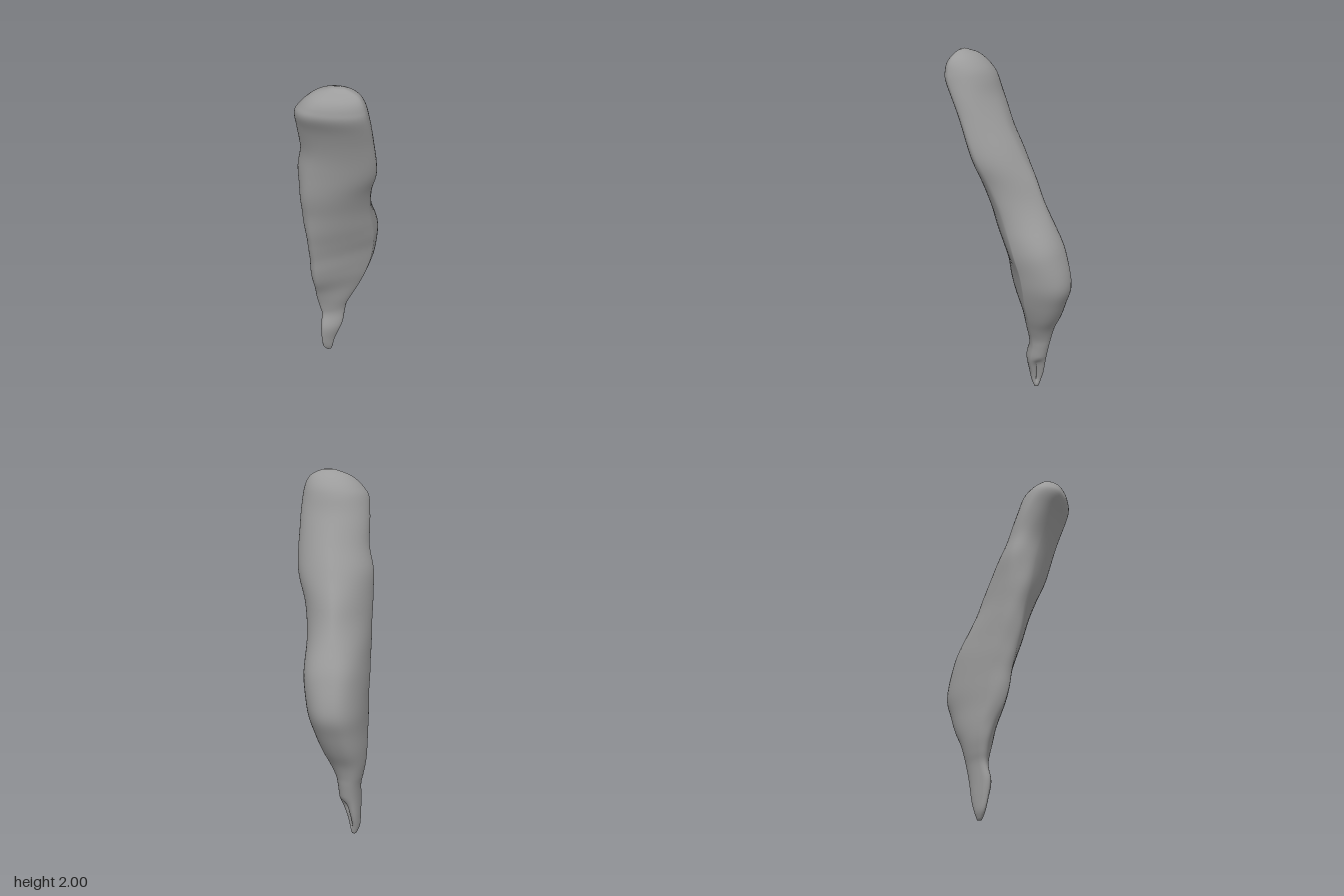
import * as THREE from 'three';

// Cross-sections from root tip to crown: [y, left x, right x, front z, back z]
const SECTIONS = [
  [0.00, -0.165, -0.138, -0.078, -0.108],
  [0.04, -0.18, -0.125, -0.054, -0.122],
  [0.10, -0.183, -0.11, -0.038, -0.143],
  [0.20, -0.185, -0.075, -0.027, -0.167],
  [0.29, -0.187, -0.066, -0.048, -0.187],
  [0.35, -0.20, -0.055, -0.04, -0.20],
  [0.42, -0.212, -0.025, -0.022, -0.225],
  [0.50, -0.215, 0.015, 0.005, -0.27],
  [0.60, -0.215, 0.055, 0.055, -0.315],
  [0.70, -0.215, 0.087, 0.085, -0.353],
  [0.80, -0.215, 0.105, 0.10, -0.35],
  [0.90, -0.215, 0.122, 0.125, -0.325],
  [1.00, -0.215, 0.123, 0.15, -0.29],
  [1.15, -0.215, 0.124, 0.18, -0.215],
  [1.30, -0.215, 0.152, 0.215, -0.155],
  [1.45, -0.215, 0.20, 0.227, -0.085],
  [1.60, -0.187, 0.207, 0.25, -0.01],
  [1.75, -0.18, 0.208, 0.305, 0.06],
  [1.85, -0.165, 0.206, 0.355, 0.09],
  [1.90, -0.135, 0.197, 0.353, 0.112],
  [1.94, -0.098, 0.182, 0.335, 0.142],
  [1.97, -0.055, 0.158, 0.305, 0.175],
  [1.99, 0.00, 0.12, 0.28, 0.21],
  [2.00, 0.03, 0.09, 0.265, 0.235],
];
const SIDES = 48, RINGS = 110;
const { lerp, smoothstep } = THREE.MathUtils;

// One outline point: four quarter arcs joined where the section touches its bounds
function outlinePoint(angle, y, xl, xr, zf, zb) {
  const upper = smoothstep(y, 1.1, 1.65);
  const frontX = lerp(xl, xr, lerp(0.2, 0.3, upper));
  const leftZ = lerp(zb, zf, lerp(0.77, 0.66, upper));
  const rightZ = lerp(zb, zf, lerp(0.46, 0.56, upper));
  const backX = (xl + xr) / 2;
  const c = Math.cos(angle), s = Math.sin(angle);
  // above 1 flattens a quarter, below 1 fills it out
  let power = 1;
  if (s < 0) {
    // full at the back of the belly, slimmer above it
    power = 0.88 + 0.37 * smoothstep(y, 0.9, 1.25) - 0.23 * smoothstep(y, 1.5, 1.8);
  } else if (c > 0) {
    // broad flat side between the front ridge and +x
    const belly = smoothstep(y, 0.35, 0.6) * (1 - smoothstep(y, 0.8, 1.15));
    power = lerp(1.35, 1.15, upper) + 0.4 * belly;
  }
  const u = Math.pow(Math.abs(c), power), v = Math.pow(Math.abs(s), power);
  const cx = s >= 0 ? frontX : backX, cz = c >= 0 ? rightZ : leftZ;
  return [cx + ((c >= 0 ? xr : xl) - cx) * u, cz + ((s >= 0 ? zf : zb) - cz) * v];
}

// Scale of an outline point: gentle lumps, and the hollow broken into the tip
function surfaceScale(t, y) {
  const lumps = 0.008 * Math.sin(y * 23 + 2 * t) * Math.sin(3 * t - y * 9);
  const band = smoothstep(y, 0.01, 0.06) * (1 - smoothstep(y, 0.16, 0.22));
  const hollow = Math.pow(Math.max(0, Math.cos(t + Math.PI / 4)), 6);
  return 1 + lumps - 0.6 * band * hollow;
}

function rootGeometry() {
  const curve = (a, b) => new THREE.CatmullRomCurve3(
    SECTIONS.map((r) => new THREE.Vector3(r[a], r[b], r[0])), false, 'catmullrom', 0.5);
  const xs = curve(1, 2), zs = curve(3, 4);
  const positions = [], indices = [];

  for (let i = 0; i <= RINGS; i++) {
    const px = xs.getPoint(i / RINGS), pz = zs.getPoint(i / RINGS), y = px.z;
    const mx = (px.x + px.y) / 2, mz = (pz.x + pz.y) / 2;
    for (let j = 0; j < SIDES; j++) {
      const t = (j / SIDES) * Math.PI * 2;
      const [x, z] = outlinePoint(t, y, px.x, px.y, pz.x, pz.y);
      const k = surfaceScale(t, y);
      positions.push(mx + (x - mx) * k, y, mz + (z - mz) * k);
    }
  }
  for (let i = 0; i < RINGS; i++) {
    for (let j = 0; j < SIDES; j++) {
      const a = i * SIDES + j, b = i * SIDES + (j + 1) % SIDES;
      indices.push(a, a + SIDES, b, b, a + SIDES, b + SIDES);
    }
  }
  // close both ends
  const bottom = positions.length / 3, top = bottom + 1, last = RINGS * SIDES;
  positions.push(-0.15, 0, -0.095, 0.06, 2, 0.25);
  for (let j = 0; j < SIDES; j++) {
    const n = (j + 1) % SIDES;
    indices.push(bottom, j, n, top, last + n, last + j);
  }

  const geometry = new THREE.BufferGeometry();
  geometry.setAttribute('position', new THREE.Float32BufferAttribute(positions, 3));
  geometry.setIndex(indices);
  geometry.computeVertexNormals();
  return geometry;
}

export function createModel() {
  const group = new THREE.Group();
  group.name = 'rootVegetable';
  const skin = new THREE.MeshStandardMaterial({ color: 0x9c9c9c });
  const root = new THREE.Mesh(rootGeometry(), skin);
  root.name = 'root';
  group.add(root);
  return group;
}
